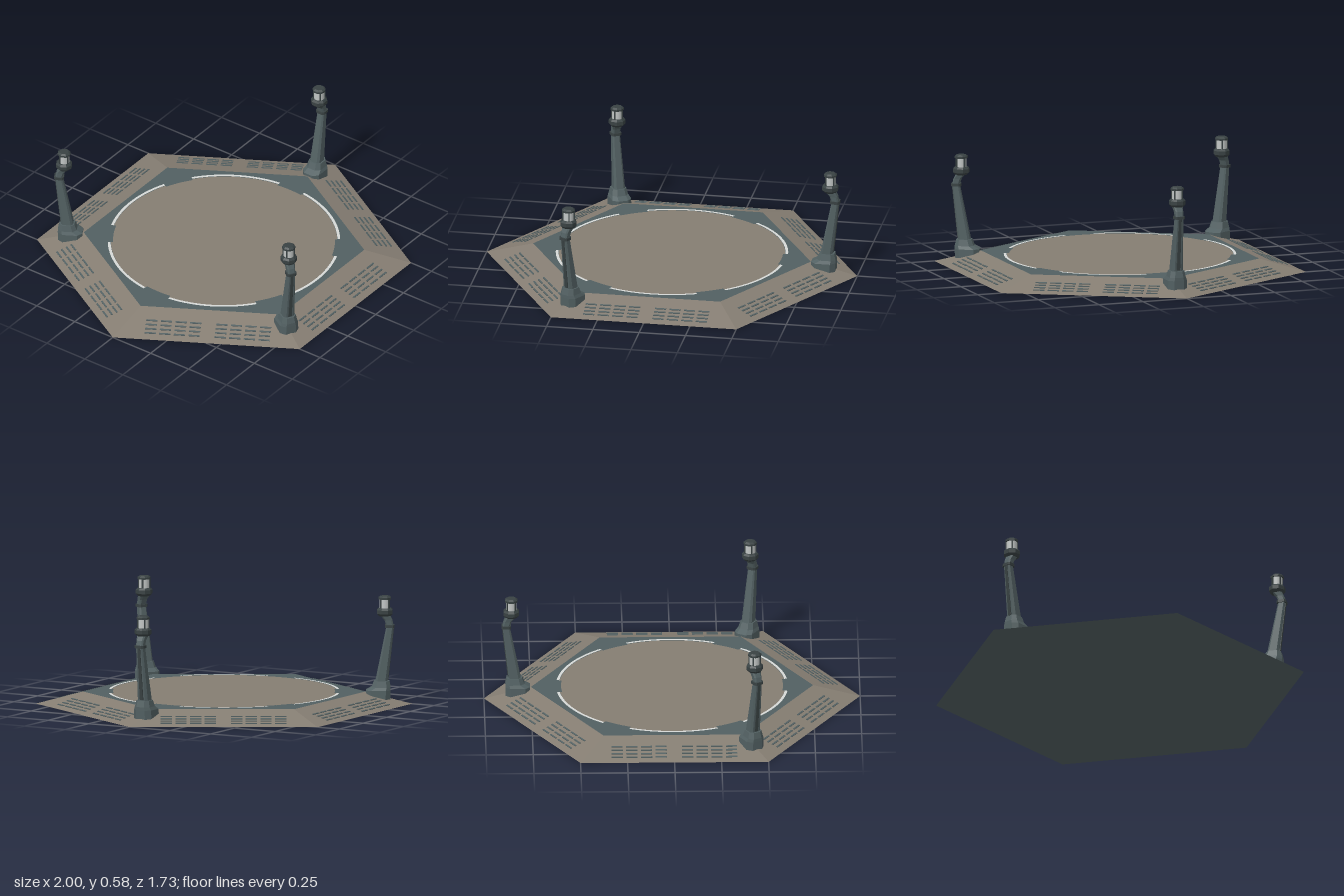
import * as THREE from 'three';
import { mergeGeometries } from 'three/addons/utils/BufferGeometryUtils.js';

const mat = (name, color, side = THREE.FrontSide) => {
  const m = new THREE.MeshStandardMaterial({ color, side });
  m.name = name;
  return m;
};
const stone = mat('warm stone', 0x857d72);
const slate = mat('slate', 0x526062);
const dark = mat('dark metal', 0x394243);
const white = mat('white line', 0xd6d8d6);
const glass = mat('lamp glass', 0xc2c6c5);

const DECK = 0.065, IN = 0.65, OUT = 0.866;

function add(parent, name, geometry, material) {
  const m = new THREE.Mesh(geometry, material);
  m.name = name;
  parent.add(m);
  return m;
}

// Faceted copy of a geometry
function facet(geometry) {
  const g = geometry.toNonIndexed();
  g.computeVertexNormals();
  return g;
}

// Stack of chamfered rectangles, each given as [y, xMin, xMax, halfDepth]
function loft(sections, cut = 0.3) {
  const rings = sections.map(([y, x0, x1, h]) => {
    const c = cut * Math.min(h, (x1 - x0) / 2) * 1.2;
    return [[x1, h - c], [x1, c - h], [x1 - c, -h], [x0 + c, -h],
      [x0, c - h], [x0, h - c], [x0 + c, h], [x1 - c, h]].map(([x, z]) => [x, y, z]);
  });
  const p = [];
  for (let r = 0; r + 1 < rings.length; r++) {
    const a = rings[r], b = rings[r + 1];
    for (let i = 0; i < 8; i++) {
      const j = (i + 1) % 8;
      p.push(...a[i], ...a[j], ...b[j], ...a[i], ...b[j], ...b[i]);
    }
  }
  const lo = rings[0], hi = rings[rings.length - 1];
  for (let i = 1; i < 7; i++) p.push(...hi[0], ...hi[i], ...hi[i + 1], ...lo[0], ...lo[i + 1], ...lo[i]);
  const g = new THREE.BufferGeometry();
  g.setAttribute('position', new THREE.Float32BufferAttribute(p, 3));
  g.computeVertexNormals();
  return g;
}

// Flat arc on the deck, centred on +z
function arc(r0, r1, half, y) {
  return new THREE.RingGeometry(r0, r1, 20, 1, -Math.PI / 2 - half, 2 * half)
    .rotateX(-Math.PI / 2).translate(0, y, 0);
}

// Eight-sided turned part from [radius, y] points
function turned(points) {
  return facet(new THREE.LatheGeometry(points.map(([r, y]) => new THREE.Vector2(r, y)), 8).rotateY(Math.PI / 8));
}

// Two grilles of short slots on one sloping side
function slots() {
  const tilt = Math.atan(DECK / (OUT - IN));
  const parts = [];
  for (const s of [-1, 1])
    for (let c = 0; c < 4; c++)
      for (let r = 0; r < 4; r++) {
        const z = 0.741 + r * 0.0275;
        parts.push(new THREE.BoxGeometry(0.06, 0.004, 0.009).rotateX(tilt)
          .translate(s * (0.07 + c * 0.078), DECK * (OUT - z) / (OUT - IN) + 0.001, z));
      }
  return mergeGeometries(parts);
}

// Leaning lamp post standing on the +x corner
function lampPost() {
  const g = new THREE.Group();
  add(g, 'postBase', loft([[0.02, 0.755, 0.884, 0.054], [0.075, 0.755, 0.886, 0.052],
    [0.092, 0.785, 0.886, 0.045], [0.125, 0.798, 0.879, 0.038]], 0.4), slate);
  add(g, 'postShaft', loft([[0.12, 0.804, 0.868, 0.031], [0.41, 0.862, 0.9, 0.021]]), slate);
  add(g, 'postRing', loft([[0.41, 0.855, 0.907, 0.027], [0.425, 0.855, 0.907, 0.027]]), dark);
  add(g, 'postNeck', loft([[0.425, 0.862, 0.9, 0.021], [0.45, 0.853, 0.895, 0.022],
    [0.48, 0.828, 0.88, 0.027]]), slate);
  // Dark spine on the outward side
  add(g, 'postSpine', loft([[0.13, 0.868, 0.874, 0.01], [0.41, 0.898, 0.904, 0.008]]), dark);

  const lamp = new THREE.Group();
  lamp.name = 'lamp';
  lamp.position.x = 0.855;
  add(lamp, 'lampCollar', turned([[0, 0.472], [0.033, 0.472], [0.045, 0.485], [0.045, 0.505],
    [0.036, 0.515], [0, 0.515]]), dark);
  add(lamp, 'lampGlass', new THREE.CylinderGeometry(0.028, 0.028, 0.055, 16).translate(0, 0.54, 0), glass);
  add(lamp, 'lampCap', turned([[0, 0.562], [0.036, 0.562], [0.036, 0.572], [0.026, 0.58], [0, 0.58]]), dark);
  for (let i = 0; i < 4; i++) {
    const bar = add(lamp, 'lampBar', new THREE.BoxGeometry(0.007, 0.055, 0.007).translate(0.03, 0.54, 0), dark);
    bar.rotation.y = Math.PI / 4 + i * Math.PI / 2;
  }
  g.add(lamp);
  return g;
}

export function createModel() {
  const model = new THREE.Group();
  model.name = 'landingPlatform';

  // Six-sided platform with sloping sides
  add(model, 'platform', facet(new THREE.CylinderGeometry(0.75, 1, DECK, 6)
    .rotateY(Math.PI / 6).translate(0, DECK / 2, 0)), [stone, slate, slate]);
  add(model, 'deckDisc', new THREE.CircleGeometry(0.602, 72)
    .rotateX(-Math.PI / 2).translate(0, DECK + 0.0015, 0), stone);

  // Markings and slots repeated on every side
  const line = arc(0.603, 0.618, 0.393, DECK + 0.003);
  const notch = arc(0.59, 0.61, 0.13, DECK + 0.003);
  const grille = slots();
  for (let k = 0; k < 6; k++) {
    const a = k * Math.PI / 3;
    add(model, 'deckLine', line, white).rotation.y = a;
    add(model, 'deckNotch', notch, slate).rotation.y = a + Math.PI / 6;
    add(model, 'sideSlots', grille, slate).rotation.y = a;
  }

  // Lamp posts on alternate corners
  for (let k = 0; k < 3; k++) {
    const post = lampPost();
    post.name = 'lampPost';
    post.rotation.y = k * 2 * Math.PI / 3;
    model.add(post);
  }
  return model;
}
